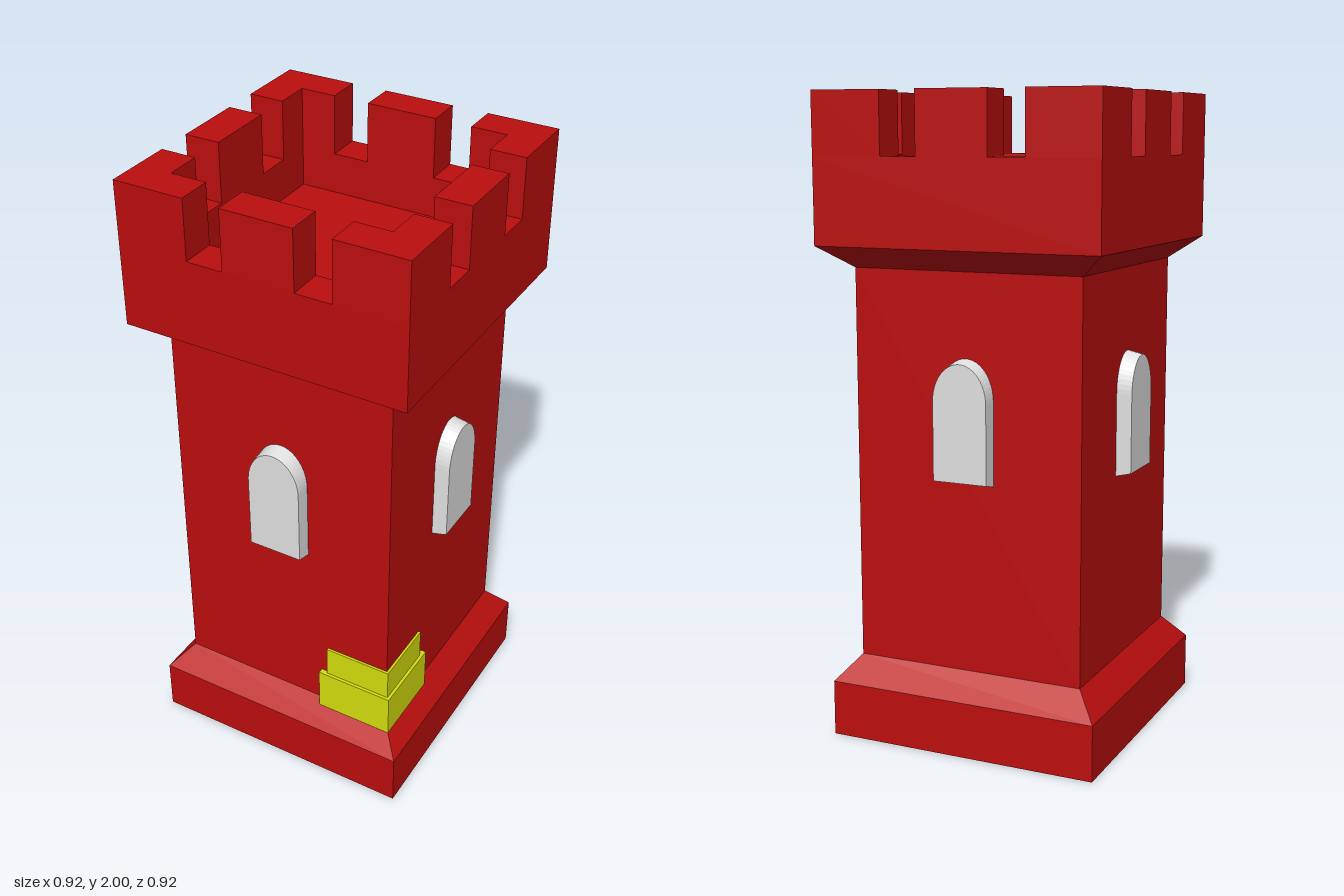
import * as THREE from 'three';

const red = new THREE.MeshStandardMaterial({ color: 0xbc0e0e });
red.name = 'red';
const grey = new THREE.MeshStandardMaterial({ color: 0xe0e0e0 });
grey.name = 'light grey';
const yellow = new THREE.MeshStandardMaterial({ color: 0xd4dc0e });
yellow.name = 'yellow';

const OUT = 0.458, IN = 0.345, NOTCH = 1.81, TOP = 2;

// Hard-edged mesh
function part(name, geometry, material) {
  const g = geometry.index ? geometry.toNonIndexed() : geometry;
  g.computeVertexNormals();
  const mesh = new THREE.Mesh(g, material);
  mesh.name = name;
  return mesh;
}

function box(name, x0, x1, y0, y1, z0, z1, material) {
  const g = new THREE.BoxGeometry(x1 - x0, y1 - y0, z1 - z0);
  g.translate((x0 + x1) / 2, (y0 + y1) / 2, (z0 + z1) / 2);
  return part(name, g, material);
}

// Square tower: plinth, shaft, flared crown and sunken roof floor
function tower() {
  const profile = [
    [0, 0], [0.438, 0], [0.438, 0.175], [0.37, 0.255], [0.37, 1.478],
    [OUT, 1.545], [OUT, NOTCH], [IN, NOTCH], [IN, 1.68], [0, 1.68],
  ].map(([half, y]) => new THREE.Vector2(half * Math.SQRT2, y));
  return part('tower', new THREE.LatheGeometry(profile, 4, Math.PI / 4), red);
}

// L-shaped merlon on the +x +z corner
function cornerMerlon() {
  const a = 0.23;
  const shape = new THREE.Shape([
    [a, -OUT], [OUT, -OUT], [OUT, -a], [IN, -a], [IN, -IN], [a, -IN],
  ].map(([x, y]) => new THREE.Vector2(x, y)));
  const g = new THREE.ExtrudeGeometry(shape, { depth: TOP - NOTCH, bevelEnabled: false });
  g.rotateX(-Math.PI / 2).translate(0, NOTCH, 0);
  return part('cornerMerlon', g, red);
}

// Arched window block whose front face is slightly smaller than its back
function archWindow() {
  const w = 0.09, bottom = 0.838, spring = 1.1, back = 0.35, front = 0.418;
  const shape = new THREE.Shape();
  shape.moveTo(-w, bottom);
  shape.lineTo(w, bottom);
  shape.lineTo(w, spring);
  shape.absellipse(0, spring, w, 0.126, 0, Math.PI, false);
  shape.closePath();
  const g = new THREE.ExtrudeGeometry(shape, { depth: front - back, bevelEnabled: false, curveSegments: 12 });
  g.translate(0, 0, back);
  const p = g.attributes.position;
  for (let i = 0; i < p.count; i++) {
    if (p.getZ(i) < front - 0.01) continue;
    p.setX(i, p.getX(i) * 0.97);
    p.setY(i, 1.04 + (p.getY(i) - 1.04) * 0.92);
  }
  return part('window', g, grey);
}

export function createModel() {
  const model = new THREE.Group();
  model.name = 'castleTower';
  model.add(tower());

  // Each side carries a window, a middle merlon and a corner merlon
  for (let i = 0; i < 4; i++) {
    const side = new THREE.Group();
    side.name = 'side' + (i + 1);
    side.rotation.y = i * Math.PI / 2;
    side.add(
      archWindow(),
      box('middleMerlon', -0.114, 0.114, NOTCH, TOP, IN, OUT, red),
      cornerMerlon(),
    );
    model.add(side);
  }

  // Stepped corner stones at the foot of the front left corner
  model.add(
    box('lowerCornerStone', 0.133, 0.388, 0.235, 0.38, 0.133, 0.388, yellow),
    box('upperCornerStone', 0.157, 0.378, 0.38, 0.483, 0.157, 0.378, yellow),
  );
  return model;
}
